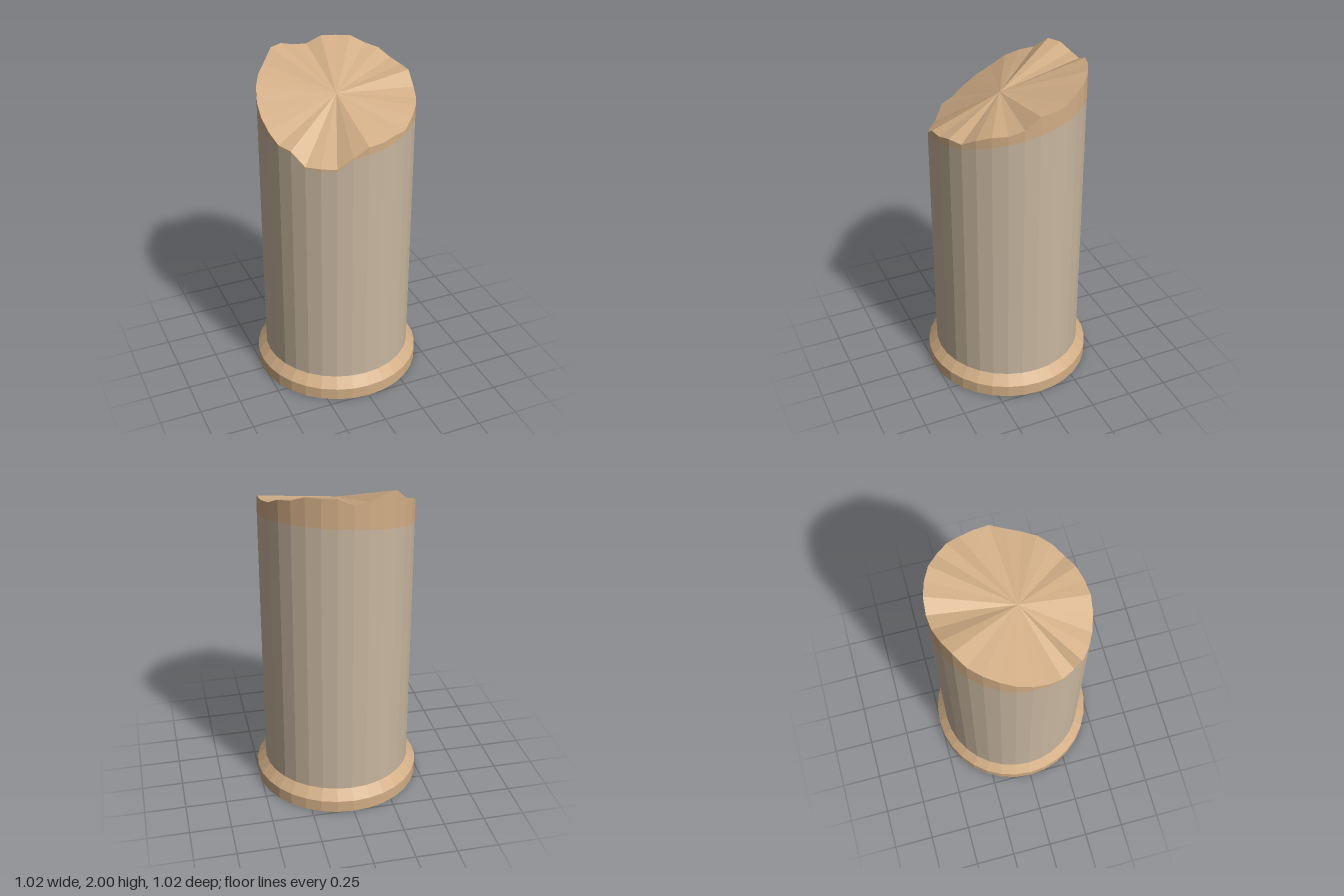
import * as THREE from 'three';

const SIDES = 32;
const RADIUS = 0.455;

// Heights of the broken rim, counter-clockwise from the front (+z) towards +x
const RIM = [
  1.685, 1.69, 1.71, 1.705, 1.75, 1.78, 1.79, 1.82,
  1.89, 1.895, 1.91, 1.95, 1.965, 2, 2, 2,
  1.96, 1.97, 2, 2, 1.93, 1.9, 1.86, 1.8,
  1.75, 1.7, 1.65, 1.64, 1.565, 1.565, 1.565, 1.63,
];

const ringPoint = (i, y) => {
  const a = (i / SIDES) * Math.PI * 2;
  return [RADIUS * Math.sin(a), y, RADIUS * Math.cos(a)];
};

// Where the weathered skin ends and the bare core shows: a tilted line below the rim
const skinTop = (i) => {
  const [x, , z] = ringPoint(i, 0);
  return Math.min(1.73 - 0.2 * z + 0.1 * x, RIM[i % SIDES] - 0.01);
};
const rimTop = (i) => RIM[i % SIDES];

// Unindexed triangles keep every facet flat
function facets(points) {
  const geometry = new THREE.BufferGeometry();
  geometry.setAttribute('position', new THREE.Float32BufferAttribute(points, 3));
  geometry.computeVertexNormals();
  return geometry;
}

// Faceted wall between two height functions
function wall(bottom, top) {
  const points = [];
  for (let i = 0; i < SIDES; i++) {
    const a = ringPoint(i, bottom(i));
    const b = ringPoint(i + 1, bottom(i + 1));
    const c = ringPoint(i + 1, top(i + 1));
    const d = ringPoint(i, top(i));
    points.push(...a, ...b, ...c, ...a, ...c, ...d);
  }
  return facets(points);
}

// Fan of splintered facets closing the break
function breakSurface() {
  const apex = [-0.015, 1.835, 0.035];
  const points = [];
  for (let i = 0; i < SIDES; i++) {
    points.push(...ringPoint(i, rimTop(i)), ...ringPoint(i + 1, rimTop(i + 1)), ...apex);
  }
  return facets(points);
}

// Base ring section with flat facets
function drum(topRadius, bottomRadius, y0, y1, open) {
  const cylinder = new THREE.CylinderGeometry(topRadius, bottomRadius, y1 - y0, SIDES, 1, open);
  cylinder.translate(0, (y0 + y1) / 2, 0);
  const geometry = cylinder.toNonIndexed();
  geometry.computeVertexNormals();
  return geometry;
}

export function createModel() {
  const group = new THREE.Group();
  group.name = 'brokenColumn';

  const skin = new THREE.MeshStandardMaterial({ color: 0xc8b6a0 });
  skin.name = 'weathered grey stone';
  const core = new THREE.MeshStandardMaterial({ color: 0xd2ae86 });
  core.name = 'tan stone';

  const add = (name, geometry, material) => {
    const mesh = new THREE.Mesh(geometry, material);
    mesh.name = name;
    group.add(mesh);
  };

  // Foot of the column
  add('basePlinth', drum(0.508, 0.508, 0, 0.075, false), core);
  add('baseBevel', drum(RADIUS, 0.508, 0.075, 0.135, true), core);

  // Shaft and its broken end
  add('shaft', wall(() => 0.135, skinTop), skin);
  add('exposedBand', wall(skinTop, rimTop), core);
  add('brokenTop', breakSurface(), core);

  return group;
}
